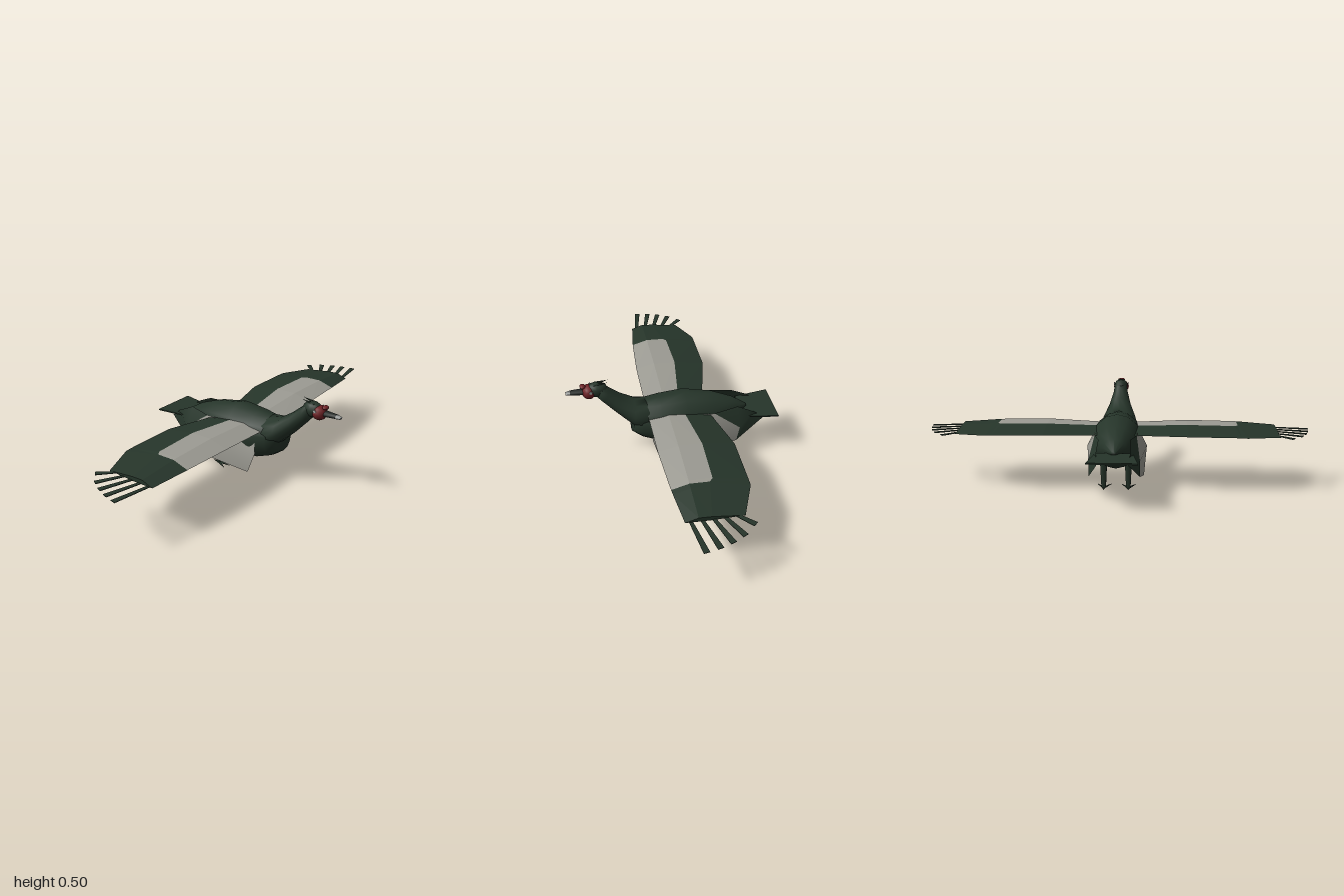
import * as THREE from 'three';

const mat = (name, color, side = THREE.FrontSide) => {
  const m = new THREE.MeshStandardMaterial({ color, side });
  m.name = name;
  return m;
};

// Skin through cross-section rings; keep(i, j) picks the cells to build
function loft(rings, { keep = () => true, closed = true, caps = false, flat = false } = {}) {
  const n = rings[0].length, pos = rings.flat(2), idx = [];
  for (let i = 0; i < rings.length - 1; i++) {
    for (let j = 0; j < (closed ? n : n - 1); j++) {
      if (!keep(i, j)) continue;
      const k = (j + 1) % n, a = i * n + j, b = i * n + k, c = a + n, d = b + n;
      idx.push(a, b, c, b, d, c);
    }
  }
  if (caps) {
    const e = (rings.length - 1) * n;
    for (let j = 1; j < n - 1; j++) idx.push(0, j + 1, j, e, e + j, e + j + 1);
  }
  let g = new THREE.BufferGeometry();
  g.setAttribute('position', new THREE.Float32BufferAttribute(pos, 3));
  g.setIndex(idx);
  if (flat) g = g.toNonIndexed();
  g.computeVertexNormals();
  return g;
}

// Oval ring in a plane tilted about x: top (z, y), bottom (z, y), half width
function oval([zt, yt, zb, yb, rx], n = 14) {
  return Array.from({ length: n }, (_, j) => {
    const a = (j / n) * Math.PI * 2, t = (1 - Math.cos(a)) / 2;
    return [rx * Math.sin(a), yt + (yb - yt) * t, zt + (zb - zt) * t];
  });
}

// Thin horizontal plate from [x, z] corners
function plate(corners, y, thick = 0.004) {
  const shape = new THREE.Shape(corners.map(([x, z]) => new THREE.Vector2(x, -z)));
  return new THREE.ExtrudeGeometry(shape, { depth: thick, bevelEnabled: false })
    .rotateX(-Math.PI / 2).translate(0, y, 0);
}

export function createModel() {
  const root = new THREE.Group();
  root.name = 'bird';
  const green = mat('dark green plumage', 0x26352a, THREE.DoubleSide);
  const grey = mat('pale grey plumage', 0x9c9b93, THREE.DoubleSide);
  const red = mat('red face', 0x6e2024);
  const horn = mat('dark beak', 0x272c29);
  const pale = mat('pale beak tip', 0xa3a6a4);

  const add = (parent, name, geo, material) => {
    const m = new THREE.Mesh(geo, material);
    m.name = name;
    parent.add(m);
    return m;
  };

  // Body and neck
  add(root, 'body', loft([
    [0.2, 0.335, 0.224, 0.17, 0.075], [0.16, 0.342, 0.17, 0.13, 0.1],
    [0.07, 0.353, 0.09, 0.1, 0.126], [-0.06, 0.365, -0.06, 0.085, 0.132],
    [-0.21, 0.337, -0.2, 0.115, 0.105], [-0.32, 0.295, -0.31, 0.18, 0.062],
    [-0.395, 0.25, -0.395, 0.235, 0.012],
  ].map((r) => oval(r)), { caps: true }), green);
  add(root, 'neck', loft([
    [0.36, 0.478, 0.39, 0.402, 0.036], [0.325, 0.442, 0.367, 0.375, 0.041],
    [0.27, 0.395, 0.3, 0.302, 0.06], [0.2, 0.348, 0.222, 0.225, 0.09],
    [0.12, 0.342, 0.14, 0.16, 0.1],
  ].map((r) => oval(r)), { caps: true }), green);

  // Head
  const ball = (name, m, x, y, z, sx, sy, sz) =>
    add(root, name, new THREE.SphereGeometry(1, 12, 8).scale(sx, sy, sz).translate(x, y, z), m);
  ball('head', green, 0, 0.445, 0.388, 0.038, 0.04, 0.055);
  ball('face', red, 0, 0.437, 0.428, 0.043, 0.037, 0.037);
  ball('brow', red, 0, 0.471, 0.458, 0.02, 0.01, 0.015);
  add(root, 'beak', loft([
    [0.522, 0.45, 0.522, 0.43, 0.017], [0.44, 0.455, 0.44, 0.424, 0.024],
  ].map((r) => oval(r, 8)), { caps: true }), horn);
  add(root, 'beakTip', loft([
    [0.545, 0.444, 0.545, 0.432, 0.012], [0.522, 0.45, 0.522, 0.43, 0.0175],
  ].map((r) => oval(r, 8)), { caps: true }), pale);

  // Crest feathers sweeping back
  for (const [x, y, tilt] of [[0, 0.486, 0.3], [0.012, 0.482, 0.16], [-0.012, 0.482, 0.16]]) {
    const c = add(root, 'crestFeather', new THREE.ConeGeometry(0.008, 0.075, 4), green);
    c.rotation.x = -Math.PI / 2 + tilt;
    c.position.set(x, y, 0.366);
  }

  // Tail fan
  add(root, 'tail', plate([[-0.09, -0.36], [0.09, -0.36], [0.12, -0.545], [-0.12, -0.545]], 0.228, 0.007), green);

  // Wing sections: x, leading z, colour boundary z, trailing z, top y, bottom y
  const wing = [
    [0.08, 0.14, -0.042, -0.175, 0.306, 0.278], [0.36, 0.14, -0.077, -0.24, 0.32, 0.288],
    [0.6, 0.126, -0.072, -0.24, 0.316, 0.286], [0.62, 0.124, -0.055, -0.24, 0.315, 0.285],
    [0.65, 0.121, -0.05, -0.24, 0.313, 0.284], [0.82, 0.1, -0.02, -0.17, 0.3, 0.275],
  ].map(([x, zl, zb, zt, yt, yb]) => [
    [x, yt, 0.04], [x, yb + 0.005, zl], [x, yb, zb], [x, yb + 0.002, zt], [x, yt - 0.003, zb],
  ]);
  const isPale = (i, j) => i < 3 && j !== 2 && j !== 3;

  // Folded flank panel: columns of [x, y, z], top to bottom, front to back
  const flank = [
    [[0.1, 0.285, 0.105], [0.122, 0.17, 0.128], [0.14, 0.06, 0.095]],
    [[0.11, 0.292, -0.05], [0.155, 0.2, -0.05], [0.142, 0.066, -0.14]],
    [[0.105, 0.287, -0.2], [0.125, 0.19, -0.335], [0.125, 0.108, -0.32]],
    [[0.075, 0.292, -0.33], [0.08, 0.25, -0.42], [0.075, 0.205, -0.478]],
  ];

  for (const side of [1, -1]) {
    const half = new THREE.Group();
    half.name = side > 0 ? 'leftSide' : 'rightSide';
    half.scale.x = side;
    root.add(half);

    // Spread wing
    add(half, 'wingPalePatch', loft(wing, { keep: isPale, flat: true }), grey);
    add(half, 'wingDark', loft(wing, { keep: (i, j) => !isPale(i, j), caps: true, flat: true }), green);

    // Wingtip feathers fanning out
    [[0.88, -0.2], [0.935, -0.14], [0.965, -0.08], [0.985, -0.02], [0.997, 0.043]].forEach(([tx, tz], i) => {
      const bx = 0.805, bz = -0.125 + i * 0.05;
      const l = Math.hypot(tx - bx, tz - bz), nx = -(tz - bz) / l, nz = (tx - bx) / l;
      const at = (x, z, w) => [x + nx * w, z + nz * w];
      add(half, 'wingtipFeather', plate([
        at(bx, bz, 0.008), at(tx, tz, 0.014), at(tx, tz, -0.014), at(bx, bz, -0.008),
      ], 0.276, 0.003), green);
    });

    // Folded flank panel with dark rear end
    add(half, 'flankPanel', loft(flank, { keep: (i) => i < 2, closed: false }), grey);
    add(half, 'flankTip', loft(flank, { keep: (i) => i === 2, closed: false }), green);

    // Leg and flat toes
    add(half, 'leg', new THREE.CylinderGeometry(0.02, 0.013, 0.13, 6).translate(0.063, 0.07, -0.163), green);
    for (const a of [-0.5, 0, 0.5, Math.PI]) {
      const len = a > 3 ? 0.035 : 0.075;
      const toe = add(half, 'toe', plate([[-0.009, 0], [0.009, 0], [0, len]], 0, 0.003), green);
      toe.position.set(0.063, 0.002, -0.163);
      toe.rotation.y = a;
    }

    // Eye
    const eye = add(half, 'eye', new THREE.CylinderGeometry(0.01, 0.01, 0.004, 4), pale);
    eye.rotation.z = Math.PI / 2;
    eye.position.set(0.04, 0.453, 0.42);
  }
  return root;
}
